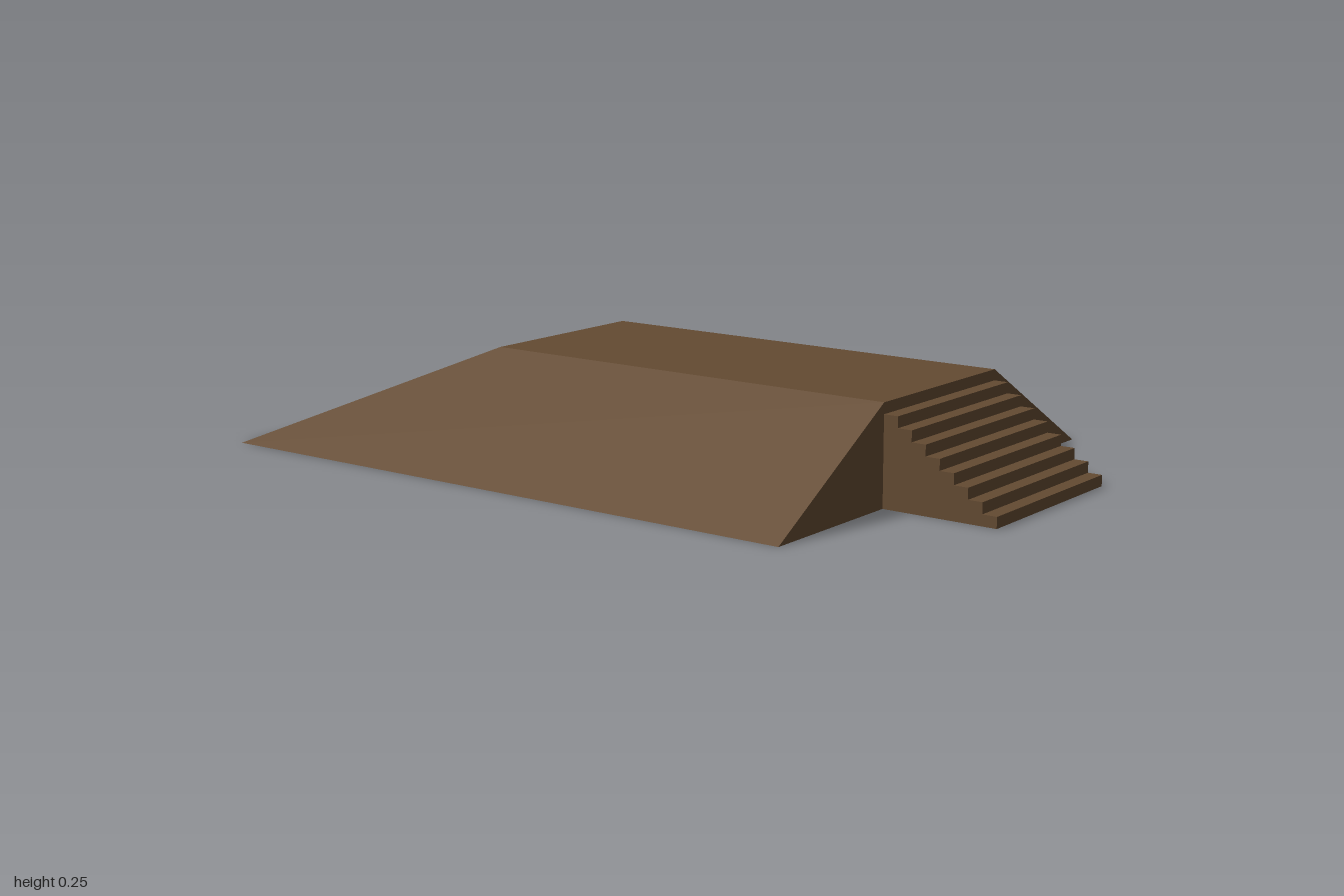
import * as THREE from 'three';

export function createModel() {
  const group = new THREE.Group();
  const earth = new THREE.MeshStandardMaterial({ color: 0x644b32 });
  earth.name = 'earth brown';

  const height = 0.25, frontZ = 0.7, backZ = -1, topHalf = 0.25, baseHalf = 0.665;

  // Mound: a box whose top is drawn in at both sides and at the back
  const box = new THREE.BoxGeometry(2 * baseHalf, height, frontZ - backZ);
  box.translate(0, height / 2, (frontZ + backZ) / 2);
  const p = box.attributes.position;
  for (let i = 0; i < p.count; i++) {
    if (p.getY(i) < height / 2) continue;
    p.setX(i, Math.sign(p.getX(i)) * topHalf);
    if (p.getZ(i) < 0) p.setZ(i, -0.47);
  }
  const moundGeometry = box.toNonIndexed();
  moundGeometry.computeVertexNormals();
  const mound = new THREE.Mesh(moundGeometry, earth);
  mound.name = 'mound';
  group.add(mound);

  // Staircase: one stepped profile extruded across the width
  const steps = 8, rise = height / (steps + 1), run = (1 - frontZ) / steps;
  const profile = new THREE.Shape();
  profile.moveTo(frontZ, 0);
  profile.lineTo(1, 0);
  for (let i = 0; i < steps; i++) {
    profile.lineTo(1 - i * run, (i + 1) * rise);
    profile.lineTo(1 - (i + 1) * run, (i + 1) * rise);
  }
  profile.closePath();
  const stairGeometry = new THREE.ExtrudeGeometry(profile, { depth: 2 * topHalf, bevelEnabled: false });
  stairGeometry.rotateY(-Math.PI / 2);
  stairGeometry.translate(topHalf, 0, 0);
  const stairs = new THREE.Mesh(stairGeometry, earth);
  stairs.name = 'staircase';
  group.add(stairs);

  return group;
}
